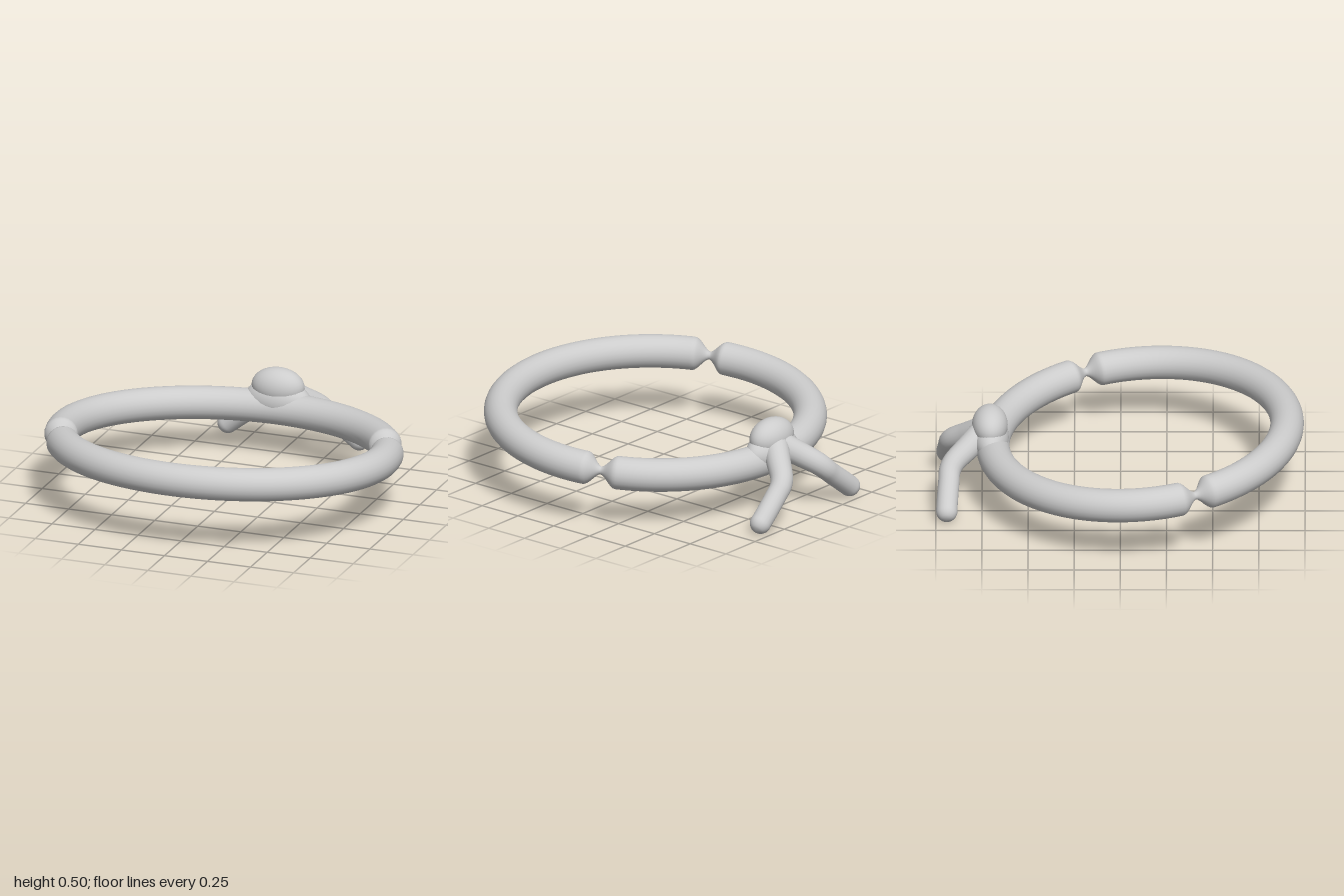
import * as THREE from 'three';
import { mergeVertices } from 'three/addons/utils/BufferGeometryUtils.js';

const grey = new THREE.MeshStandardMaterial({ color: 0xcccccc });
grey.name = 'plain grey';

// Tube whose radius varies: radiusAt(point, distanceAlong)
function variableTube(curve, segments, sides, closed, radiusAt) {
  let geo = new THREE.TubeGeometry(curve, segments, 1, sides, closed);
  const pos = geo.attributes.position;
  const length = curve.getLength();
  const v = new THREE.Vector3();
  for (let i = 0; i <= segments; i++) {
    const c = curve.getPointAt(closed && i === segments ? 0 : i / segments);
    const r = radiusAt(c, (length * i) / segments, length);
    for (let j = 0; j <= sides; j++) {
      const k = i * (sides + 1) + j;
      v.fromBufferAttribute(pos, k).sub(c).multiplyScalar(r).add(c);
      pos.setXYZ(k, v.x, v.y, v.z);
    }
  }
  geo.deleteAttribute('normal');
  geo.deleteAttribute('uv');
  geo = mergeVertices(geo, 1e-5);
  geo.computeVertexNormals();
  return geo;
}

function add(group, name, geometry) {
  const mesh = new THREE.Mesh(geometry, grey);
  mesh.name = name;
  group.add(mesh);
  return mesh;
}

export function createModel() {
  const group = new THREE.Group();
  group.name = 'knottedBand';

  // Tilted oval band, higher at the front, with two narrow pinches
  const ringPoint = (a) => new THREE.Vector3(
    0.897 * Math.sin(a), 0.345 + 0.065 * Math.cos(a), 0.105 + 0.797 * Math.cos(a));
  const points = [];
  for (let i = 0; i < 48; i++) points.push(ringPoint((i / 48) * Math.PI * 2));
  const ring = new THREE.CatmullRomCurve3(points, true);
  const pinchAngle = Math.acos(-0.375);
  const pinches = [ringPoint(pinchAngle), ringPoint(pinchAngle + Math.PI)];
  add(group, 'band', variableTube(ring, 400, 24, true, (c) => {
    const d = Math.min(...pinches.map((p) => p.distanceTo(c)));
    return 0.02 + 0.071 * THREE.MathUtils.smoothstep(d, -0.005, 0.088);
  }));

  // Knot sitting on the back of the band, with a softer base
  const knot = add(group, 'knot', new THREE.SphereGeometry(1, 32, 20));
  knot.scale.set(0.15, 0.105, 0.097);
  knot.position.set(0, 0.4, -0.708);
  const base = add(group, 'knotBase', new THREE.SphereGeometry(1, 32, 20));
  base.scale.set(0.19, 0.11, 0.1);
  base.position.set(0, 0.325, -0.705);

  // Two bent tails with rounded tips
  for (const side of [1, -1]) {
    const path = new THREE.CatmullRomCurve3([
      [0, 0.375, -0.73], [0.085, 0.305, -0.825], [0.155, 0.245, -0.905],
      [0.19, 0.212, -0.925], [0.24, 0.17, -0.93], [0.33, 0.1, -0.938], [0.427, 0.025, -0.943],
    ].map(([x, y, z]) => new THREE.Vector3(side * x, y, z)));
    add(group, side > 0 ? 'leftTail' : 'rightTail',
      variableTube(path, 80, 20, false, (c, s, length) => {
        const r = THREE.MathUtils.lerp(0.074, 0.058, Math.min(1, s / 0.35));
        const toTip = Math.min(r, length - s);
        return Math.sqrt(Math.max(0, r * r - (r - toTip) ** 2));
      }));
  }
  return group;
}
